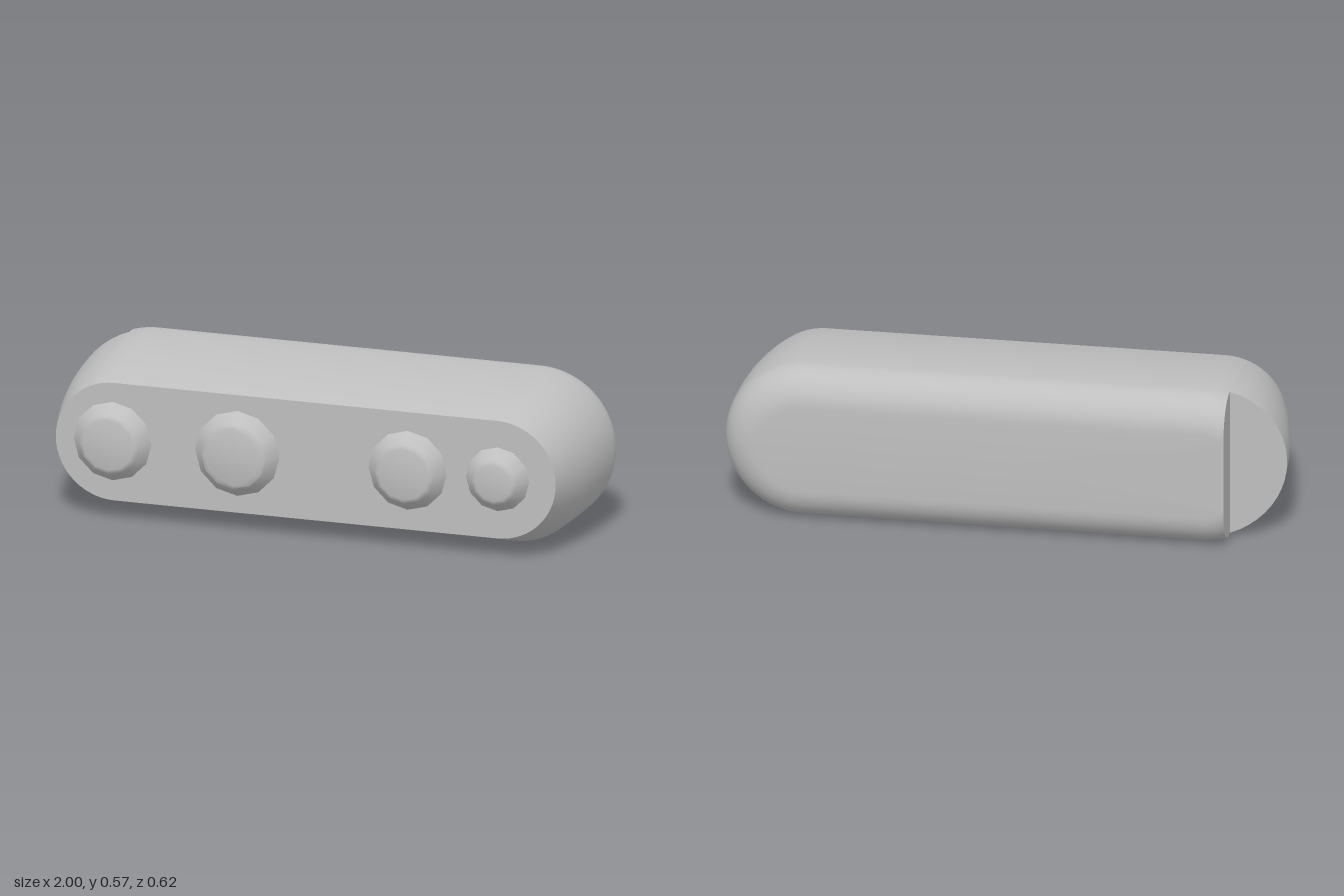
import * as THREE from 'three';
import { toCreasedNormals } from 'three/addons/utils/BufferGeometryUtils.js';

const HALF = 0.714;   // half length of the straight middle
const MID = 0.287;    // height of the long axis
const FRONT = 0.26, BACK = -0.312, ROUND = -0.19;
const STEP_X = -0.8;  // wall of the rear notch

// Radii of the pill-shaped cross-section at depth z
function radii(z) {
  if (z < ROUND) {
    const t = (ROUND - z) / (ROUND - BACK);
    const r = 0.286 - 0.128 * (1 - Math.sqrt(Math.max(0, 1 - t * t)));
    return { top: r, bottom: r + 0.001 };
  }
  const top = 0.286 - 0.0685 * ((z - ROUND) / (FRONT - ROUND)) ** 2;
  return { top, bottom: MID - 0.07 * Math.max(0, (z - 0.05) / (FRONT - 0.05)) };
}

// Counterclockwise pill outline, with points exactly on the notch wall
function section(z) {
  const { top, bottom } = radii(z);
  const split = Math.acos((-STEP_X - HALF) / top);
  const angles = [];
  for (let k = 0; k <= 10; k++) angles.push(split * k / 10);
  for (let k = 1; k <= 4; k++) angles.push(split + (Math.PI / 2 - split) * k / 4);
  const quarter = (sx, sy) => angles.map(a => new THREE.Vector3(
    sx * (HALF + top * Math.cos(a)), MID + sy * (sy > 0 ? top : bottom) * Math.sin(a), z));
  return [
    ...quarter(1, -1).reverse(), ...quarter(1, 1).slice(1),
    ...quarter(-1, 1).reverse(), ...quarter(-1, -1).slice(1),
  ];
}

// Loft through sections at the given depths; limit() trims each point, skip() leaves faces out
function loft(depths, limit, skip) {
  const rings = depths.map(z => section(z).map(limit));
  const n = rings[0].length;
  const pos = [];
  const tri = (a, b, c) => {
    const area = new THREE.Triangle(a, b, c).getArea();
    if (area > 1e-9 && !skip([a, b, c])) pos.push(...a.toArray(), ...b.toArray(), ...c.toArray());
  };
  const first = rings[0], last = rings[rings.length - 1];
  const frontCentre = limit(new THREE.Vector3(0, MID, depths[0]));
  const backCentre = limit(new THREE.Vector3(0, MID, depths[depths.length - 1]));
  for (let j = 0; j < n; j++) {
    const k = (j + 1) % n;
    for (let i = 0; i + 1 < rings.length; i++) {
      const p = rings[i], q = rings[i + 1];
      tri(p[j], q[j], p[k]);
      tri(q[j], q[k], p[k]);
    }
    tri(frontCentre, first[j], first[k]);
    tri(backCentre, last[k], last[j]);
  }
  const geo = new THREE.BufferGeometry();
  geo.setAttribute('position', new THREE.Float32BufferAttribute(pos, 3));
  return toCreasedNormals(geo, 0.5);
}

export function createModel() {
  const group = new THREE.Group();
  const grey = new THREE.MeshStandardMaterial({ color: 0xbfbfbf });
  grey.name = 'grey';
  const add = (name, geo) => {
    const mesh = new THREE.Mesh(geo, grey);
    mesh.name = name;
    group.add(mesh);
    return mesh;
  };

  const frontDepths = [0.26, 0.21, 0.16, 0.11, 0.05, 0, -0.05, -0.1];
  const rearDepths = [-0.15];
  for (let k = 0; k <= 10; k++) rearDepths.push(ROUND - (ROUND - BACK) * Math.sin(k / 10 * Math.PI / 2));

  // Main body, cut flat at the notch wall; its flat underside is a separate panel
  add('body', loft([...frontDepths, ...rearDepths],
    p => p.setX(Math.max(p.x, STEP_X)),
    t => t.every(p => p.y < 0.0005 && Math.abs(p.x) < HALF + 0.001 && p.z < 0.051 && p.z > ROUND - 0.001)));

  // Rounded end beside the notch, cut off by a slanting rear face
  const cut = x => -0.17 + (STEP_X - x) * 0.18;
  add('notchedEnd', loft([...frontDepths, -0.12, -0.135, -0.142, -0.15, -0.16, -0.17],
    p => {
      p.x = Math.min(p.x, STEP_X);
      p.z = Math.max(p.z, cut(p.x));
      return p;
    },
    t => t.every(p => p.x > STEP_X - 1e-5)));

  // Underside panel with a small slot
  const rect = (path, x0, x1, y0, y1) => {
    path.moveTo(x0, y0).lineTo(x1, y0);
    path.lineTo(x1, y1).lineTo(x0, y1).closePath();
    return path;
  };
  const panel = rect(new THREE.Shape(), -HALF, HALF, ROUND, 0.05);
  panel.holes.push(rect(new THREE.Path(), -0.095, 0.045, -0.062, -0.02));
  const underside = add('underside', new THREE.ExtrudeGeometry(panel, { depth: 0.05, bevelEnabled: false }));
  underside.rotation.x = Math.PI / 2;
  underside.position.y = 0.05;
  add('slotFloor', new THREE.BoxGeometry(0.2, 0.02, 0.1)).position.set(-0.025, 0.06, -0.04);

  // Four tapered buttons on the front: x, radius
  for (const [x, r] of [[-0.72, 0.145], [-0.255, 0.157], [0.38, 0.146], [0.715, 0.118]]) {
    const profile = [[r, -0.01], [r, 0], [r - 0.034, 0.042], [r - 0.042, 0.05], [r - 0.052, 0.053], [0, 0.053]]
      .map(([a, b]) => new THREE.Vector2(a, b));
    const button = add('button', toCreasedNormals(new THREE.LatheGeometry(profile, 12), 0.6));
    button.rotation.x = Math.PI / 2;
    button.position.set(x, 0.289, FRONT);
  }
  return group;
}
